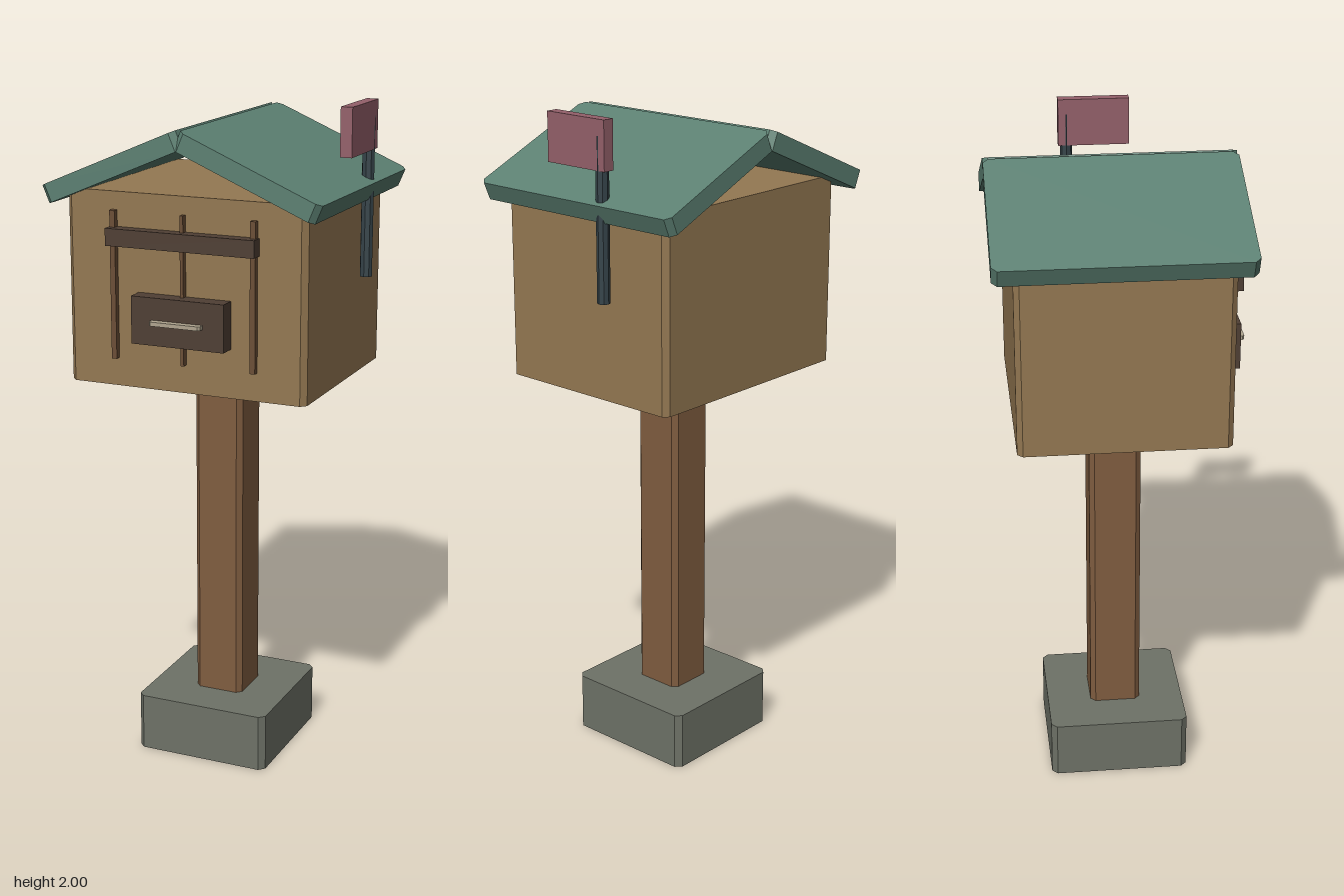
import * as THREE from 'three';

const mat = (color) => new THREE.MeshStandardMaterial({ color, flatShading: true });
const WOOD = mat(0x947852), POST = mat(0x805d40), STONE = mat(0x6e7267), ROOF = mat(0x5c8072);
const DARK = mat(0x4f3f34), TRIM = mat(0x6b4e36), METAL = mat(0x36444a), RED = mat(0x94606a), PALE = mat(0xb0a58f);

// Box centred on the origin, its upright edges chamfered by c
function chamferBox(w, h, d, c) {
  const x = w / 2, z = d / 2;
  const shape = new THREE.Shape([
    [x - c, -z], [x, -z + c], [x, z - c], [x - c, z],
    [-x + c, z], [-x, z - c], [-x, -z + c], [-x + c, -z],
  ].map(([a, b]) => new THREE.Vector2(a, b)));
  return new THREE.ExtrudeGeometry(shape, { depth: h, bevelEnabled: false })
    .translate(0, 0, -h / 2).rotateX(-Math.PI / 2);
}

export function createModel() {
  const model = new THREE.Group();
  model.name = 'mailbox';
  const add = (name, geometry, material, x, y, z) => {
    const mesh = new THREE.Mesh(geometry, material);
    mesh.name = name;
    mesh.position.set(x, y, z);
    model.add(mesh);
    return mesh;
  };

  // Footing, post and body
  const zc = -0.0075;
  add('footing', chamferBox(0.42, 0.175, 0.425, 0.017), STONE, 0, 0.0875, zc);
  add('post', chamferBox(0.152, 1.03, 0.155, 0.015), POST, 0, 0.685, zc);
  add('body', chamferBox(0.735, 0.565, 0.61, 0.016), WOOD, 0, 1.4775, zc);

  // Two sloping roof slabs that leave a shallow groove along the ridge
  const slope = THREE.MathUtils.degToRad(23);
  for (const side of [-1, 1]) {
    const slab = add(side < 0 ? 'roofRight' : 'roofLeft',
      chamferBox(0.453, 0.055, 0.72, 0.016), ROOF, side * 0.2057, 1.8312, -0.012);
    slab.rotation.z = -side * slope;
  }

  // Door strips, rail and letter slot on the front
  for (const [x, w] of [[-0.215, 0.016], [0, 0.01], [0.215, 0.016]]) {
    add('doorStrip', new THREE.BoxGeometry(w, 0.43, 0.03), TRIM, x, 1.493, 0.3);
  }
  add('doorRail', new THREE.BoxGeometry(0.455, 0.05, 0.045), DARK, 0, 1.635, 0.3135);
  add('slotPlate', new THREE.BoxGeometry(0.285, 0.138, 0.055), DARK, 0, 1.407, 0.3205);
  add('slotLip', chamferBox(0.157, 0.012, 0.04, 0.006), PALE, 0, 1.406, 0.35);

  // Signal flag
  add('flagPole', new THREE.CylinderGeometry(0.0185, 0.0185, 0.465, 8), METAL, 0.395, 1.7225, -0.107);
  add('flag', new THREE.BoxGeometry(0.035, 0.14, 0.213), RED, 0.395, 1.93, -0.025);

  return model;
}
